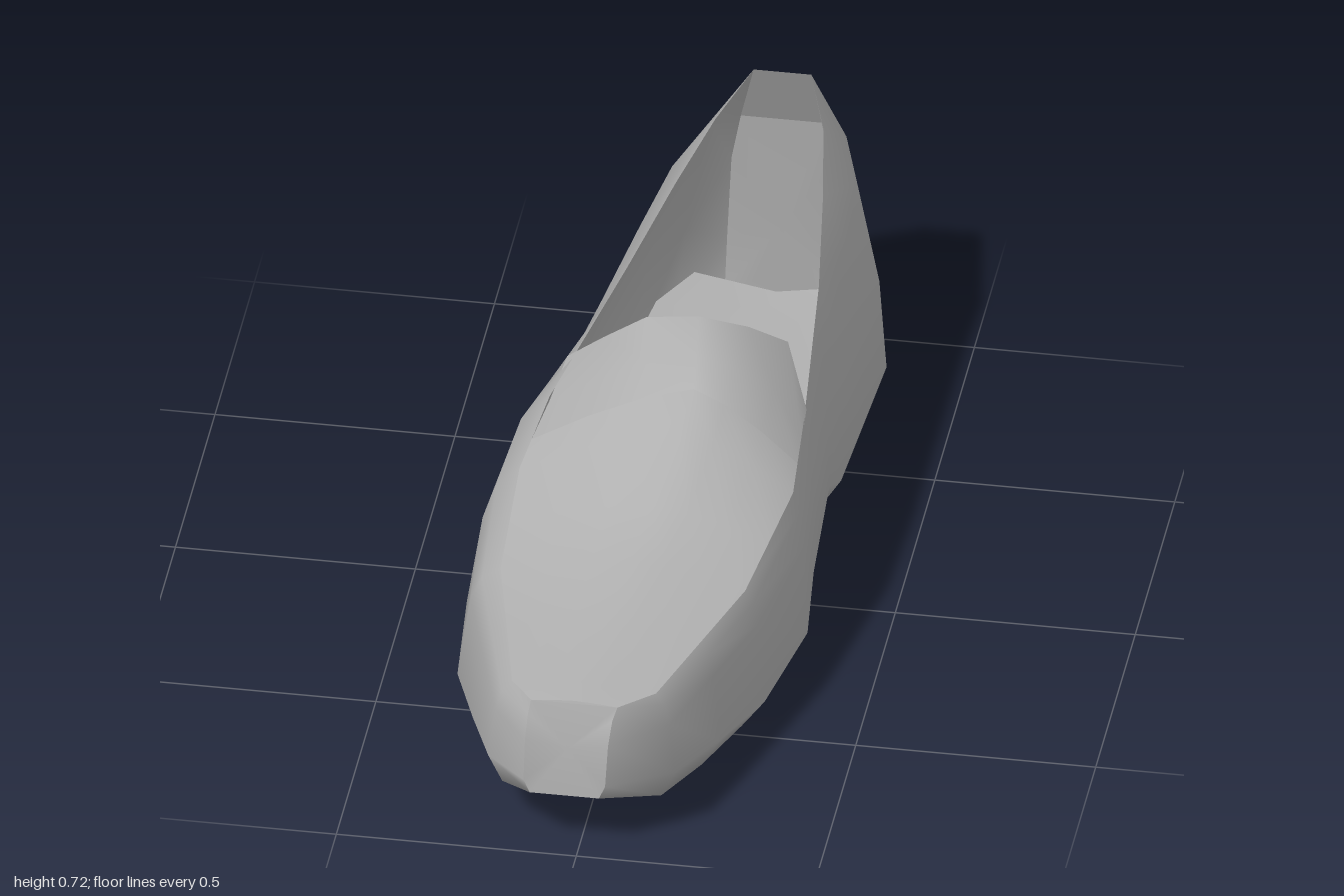
import * as THREE from 'three';

const grey = new THREE.MeshStandardMaterial({ color: 0xb0b0b0, side: THREE.DoubleSide });
grey.name = 'plain grey';
const lerp = THREE.MathUtils.lerp;

// Guide lines along the foot, from toe to heel
const outline = [ // z, right side x, left side x
  [1, -0.11, 0.06], [0.9, -0.2, 0.19], [0.5, -0.33, 0.31], [0.2, -0.36, 0.35], [0, -0.33, 0.33],
  [-0.26, -0.235, 0.32], [-0.8, -0.17, 0.35], [-0.92, -0.11, 0.31], [-1, -0.02, 0.21],
];
const rimLine = [ // z, height, right side x, left side x
  [1, 0.355, -0.1, 0.08], [0.9, 0.355, -0.15, 0.15], [0.5, 0.36, -0.24, 0.27], [0.2, 0.41, -0.25, 0.32],
  [0, 0.46, -0.22, 0.31], [-0.37, 0.545, -0.12, 0.28], [-0.8, 0.67, 0, 0.225],
  [-0.92, 0.72, 0.06, 0.18], [-1, 0.55, 0.02, 0.2],
];
const soleLine = [ // z, height: toe spring, ball, arch, heel
  [1, 0.15], [0.9, 0.105], [0.7, 0.055], [0.5, 0.025], [0.2, 0.003], [0, 0.02],
  [-0.26, 0.06], [-0.37, 0.003], [-0.92, 0.005], [-1, 0.03],
];
const crestLine = [ // z, x, height of the vamp's ridge
  [1, -0.01, 0.362], [0.7, 0.01, 0.378], [0.5, 0.03, 0.41], [0.35, 0.05, 0.45], [0.12, 0.1, 0.59],
];
const stations = [1, 0.9, 0.7, 0.5, 0.2, 0, -0.12, -0.26, -0.37, -0.6, -0.8, -0.92, -1];

// Values of a guide line at z
function at(line, z) {
  const i = Math.min(Math.max(line.findIndex(p => p[0] <= z), 1), line.length - 1);
  const a = line[i - 1], b = line[i], t = (z - a[0]) / (b[0] - a[0]);
  return a.slice(1).map((v, k) => lerp(v, b[k + 1], t));
}

// Toe and heel lean inwards towards the rim
function rimZ(z) {
  return z > 0.95 ? z - 0.035 : z < -0.75 ? z + 0.04 : z;
}

// Surface through rows of points; flip turns the outside over
function loft(rows, flip) {
  const n = rows[0].length, index = [];
  for (let r = 0; r < rows.length - 1; r++) {
    for (let i = 0; i < n - 1; i++) {
      const a = r * n + i, b = a + 1, c = a + n, d = c + 1;
      if (flip) index.push(a, c, b, b, c, d);
      else index.push(a, b, c, b, d, c);
    }
  }
  return build(rows.flat(), index);
}

// Closed end made of a fan round the middle of a ring
function fan(ring, flip) {
  const n = ring.length, mid = [0, 0, 0], index = [];
  ring.forEach(p => p.forEach((v, k) => { mid[k] += v / n; }));
  for (let i = 0; i < n; i++) {
    const j = (i + 1) % n;
    if (flip) index.push(n, j, i);
    else index.push(n, i, j);
  }
  return build([...ring, mid], index);
}

function build(points, index) {
  const g = new THREE.BufferGeometry();
  g.setAttribute('position', new THREE.Float32BufferAttribute(points.flat(), 3));
  g.setIndex(index);
  g.computeVertexNormals();
  return g;
}

// U-shaped cross-section: rim, shoulder, side, sole edge and sole on each half
function ringOf(z) {
  const [ground] = at(soleLine, z), edge = at(outline, z), [rimY, ...rim] = at(rimLine, z);
  const edgeY = Math.min(ground + 0.065, Math.max(0.165, ground + 0.03));
  const sideY = z < -0.95 ? 0.22 : 0.28;
  const bulge = z > 0 ? 0.3 : 0.12;
  const middle = (edge[0] + edge[1]) / 2;
  const [right, left] = [0, 1].map(s => {
    const sideX = lerp(edge[s], rim[s], bulge);
    return [
      [rim[s], rimY, rimZ(z)],
      [lerp(sideX, rim[s], 0.38), lerp(sideY, rimY, 0.65), lerp(z, rimZ(z), 0.65)],
      [sideX, sideY, z],
      [edge[s], edgeY, z],
      [lerp(middle, edge[s], 0.85), ground, z],
    ];
  });
  return [...right, ...left.reverse()];
}

// Arch across the foot: peaked at the ridge, low at both rims
function archOf(z) {
  const [y, x0, x1] = at(rimLine, z), [crestX, crestY] = at(crestLine, z);
  return [-1, -0.65, -0.3, 0, 0.3, 0.65, 1].map(t => [
    lerp(crestX, t < 0 ? x0 : x1, Math.abs(t)),
    lerp(crestY, y, Math.abs(t) ** 1.35),
    rimZ(z),
  ]);
}

export function createModel() {
  const group = new THREE.Group();
  group.name = 'slipOnShoe';
  const add = (name, geometry) => {
    const mesh = new THREE.Mesh(geometry, grey);
    mesh.name = name;
    group.add(mesh);
  };

  // Sole and side walls in one skin, closed at toe and heel
  const rings = stations.map(ringOf);
  const last = rings.length - 1;
  add('soleAndSides', loft(rings, true));
  add('toeFront', fan(rings[0], false));
  add('heelBack', fan(rings[last], true));
  add('heelTop', loft(rings.slice(-2).map(r => [r[0], r[r.length - 1]]), false));

  // Vamp over the toes
  const vamp = [1, 0.9, 0.7, 0.5, 0.35, 0.2, 0.12].map(archOf);
  add('vamp', loft(vamp, false));

  // Raised tongue flap standing behind the vamp, with a slight crease
  const flapEdge = [
    [-0.205, 0.475, -0.13], [-0.12, 0.57, -0.07], [-0.02, 0.67, -0.01], [0.09, 0.69, 0],
    [0.19, 0.655, -0.03], [0.26, 0.58, -0.1], [0.31, 0.465, -0.03],
  ];
  const flapFront = vamp[vamp.length - 1];
  const flapMiddle = flapFront.map(([x, y, z], i) => {
    const [ex, ey, ez] = flapEdge[i];
    return [(x + ex) / 2, (y + ey) / 2 - 0.008, (z + ez) / 2];
  });
  add('tongueFlap', loft([flapFront, flapMiddle, flapEdge], false));

  // Insole inside the opening, dished along its middle
  const insole = stations.slice(3, last).map(z => {
    const [right, left] = at(outline, z);
    return [[right + 0.04, 0.18, z], [(right + left) / 2, 0.15, z], [left - 0.04, 0.18, z]];
  });
  add('insole', loft(insole, false));

  return group;
}
